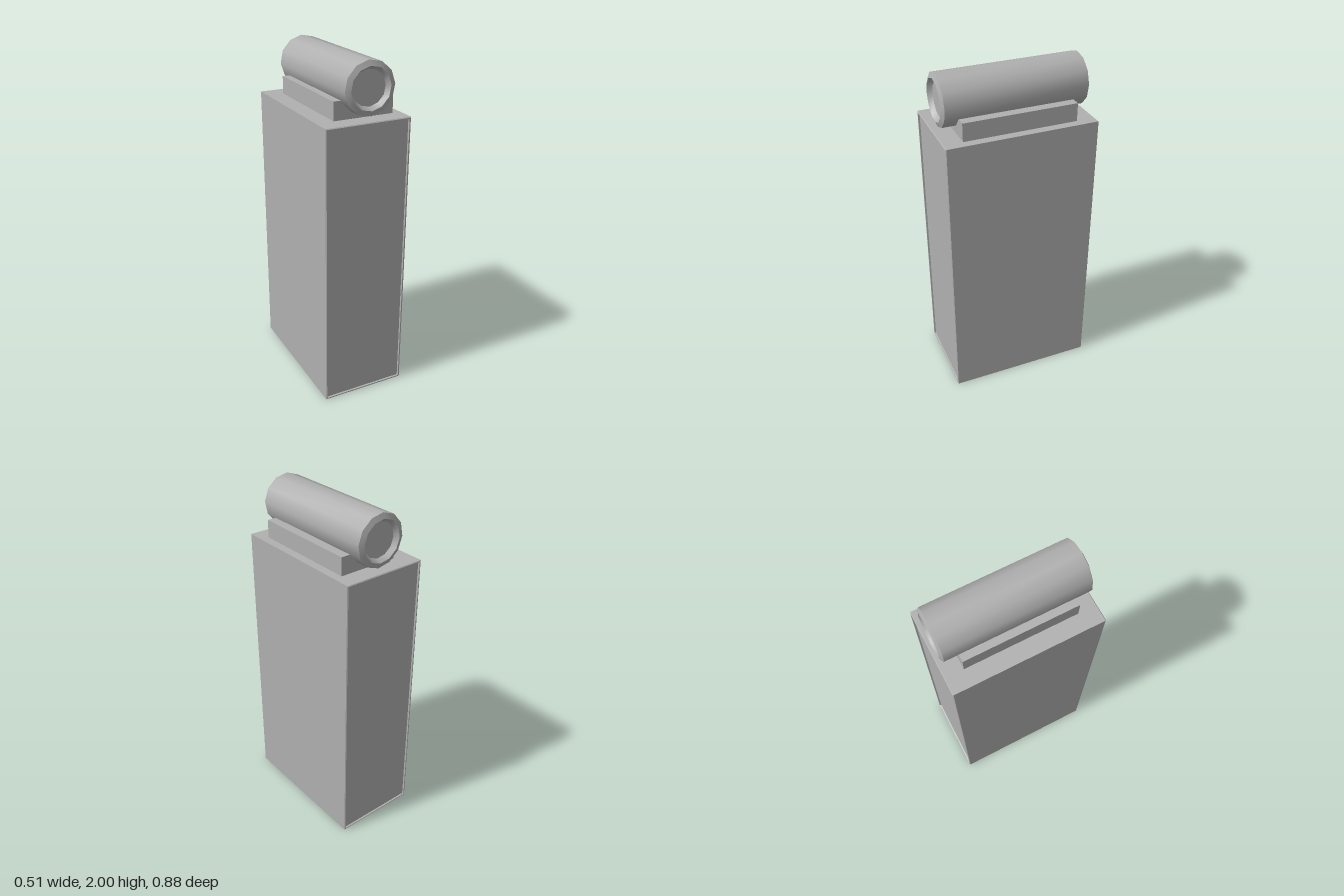
import * as THREE from 'three';
import { toCreasedNormals } from 'three/addons/utils/BufferGeometryUtils.js';

// Skin a stack of rectangles [halfWidth, halfHeight, z], ordered back to front, with end caps.
function rectLoft(loops) {
  const pos = [], idx = [];
  for (const [w, h, z] of loops) pos.push(-w, -h, z, w, -h, z, w, h, z, -w, h, z);
  for (let i = 0; i < loops.length - 1; i++) {
    for (let k = 0; k < 4; k++) {
      const a = i * 4 + k, b = i * 4 + (k + 1) % 4;
      idx.push(a, b, b + 4, a, b + 4, a + 4);
    }
  }
  const e = (loops.length - 1) * 4;
  idx.push(0, 2, 1, 0, 3, 2, e, e + 1, e + 2, e, e + 2, e + 3);
  const g = new THREE.BufferGeometry();
  g.setAttribute('position', new THREE.Float32BufferAttribute(pos, 3));
  g.setIndex(idx);
  const flat = g.toNonIndexed();
  flat.computeVertexNormals();
  return flat;
}

// Extend a half profile, listed from the middle out to the end, to both ends.
const mirrored = (half) => [
  ...half.map(([r, z]) => [r, -z]).reverse(),
  ...half,
];

export function createModel() {
  const model = new THREE.Group();
  const grey = new THREE.MeshStandardMaterial({ color: 0xb0b0b0 });
  grey.name = 'plain grey';

  const add = (name, geometry, x, y, z) => {
    const mesh = new THREE.Mesh(geometry, grey);
    mesh.name = name;
    mesh.position.set(x, y, z);
    model.add(mesh);
  };

  // Tall case: chamfered front and back rims around slightly recessed panels
  const half = [[0, 0.436], [0.005, 0.44], [0.01, 0.44], [0.012, 0.43]];
  const loops = mirrored(half).map(([inset, z]) => [0.255 - inset, 0.84 - inset, z]);
  add('case', rectLoft(loops), 0, 0.84, 0);

  // Mounting block between case and tube
  add('mount', new THREE.BoxGeometry(0.36, 0.105, 0.66), 0.025, 1.7325, 0);

  // Twelve-sided tube with chamfered rims and recessed end discs
  const profile = mirrored([[0.149, 0.41], [0.119, 0.422], [0.1, 0.395], [0, 0.395]]);
  const tube = new THREE.LatheGeometry(profile.map(([r, z]) => new THREE.Vector2(r, z)), 12);
  tube.rotateX(Math.PI / 2);
  tube.rotateZ(0.07);
  add('tube', toCreasedNormals(tube, 0.6), 0.018, 1.852, -0.002);

  return model;
}
